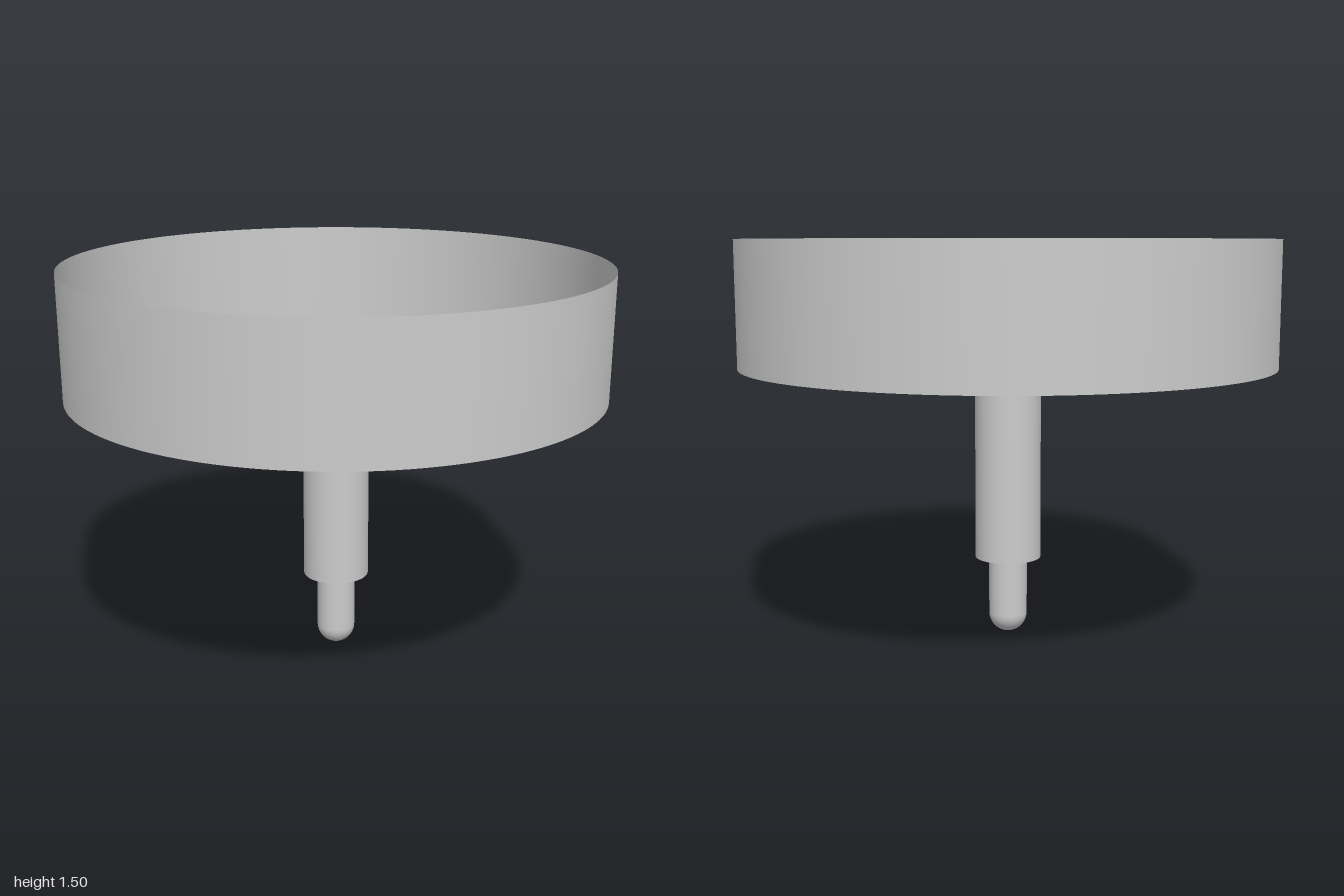
import * as THREE from 'three';

const RIM_R = 1, FLOOR_Y = 1.04, RIM_Y = 1.505;
const SHAFT_R = 0.125, SHAFT_Y = 0.295, PIN_R = 0.073;

export function createModel() {
  const model = new THREE.Group();
  const solid = new THREE.MeshStandardMaterial({ color: 0xcccccc });
  const thin = new THREE.MeshStandardMaterial({ color: 0xcccccc, side: THREE.DoubleSide });

  const add = (name, geometry, material, y) => {
    const mesh = new THREE.Mesh(geometry, material);
    mesh.name = name;
    mesh.position.y = y;
    model.add(mesh);
  };
  // Open cylinder wall standing between two heights
  const tube = (name, r, y0, y1, material, segments) =>
    add(name, new THREE.CylinderGeometry(r, r, y1 - y0, segments, 1, true), material, (y0 + y1) / 2);
  // Flat horizontal disc, facing up or down
  const disc = (name, r, y, material, segments, up) =>
    add(name, new THREE.CircleGeometry(r, segments).rotateX(up ? -Math.PI / 2 : Math.PI / 2), material, y);

  // Shallow open dish with a thin wall
  tube('dishWall', RIM_R, FLOOR_Y, RIM_Y, thin, 128);
  disc('dishFloor', RIM_R, FLOOR_Y, thin, 128, true);

  // Shaft under the dish, ending in a flat shoulder
  tube('shaft', SHAFT_R, SHAFT_Y, FLOOR_Y, solid, 64);
  disc('shaftShoulder', SHAFT_R, SHAFT_Y, solid, 64, false);

  // Narrow pin with a hemispherical tip
  tube('pin', PIN_R, PIN_R, SHAFT_Y, solid, 48);
  add('pinTip', new THREE.SphereGeometry(PIN_R, 48, 12, 0, Math.PI * 2, Math.PI / 2, Math.PI / 2), solid, PIN_R);

  return model;
}
